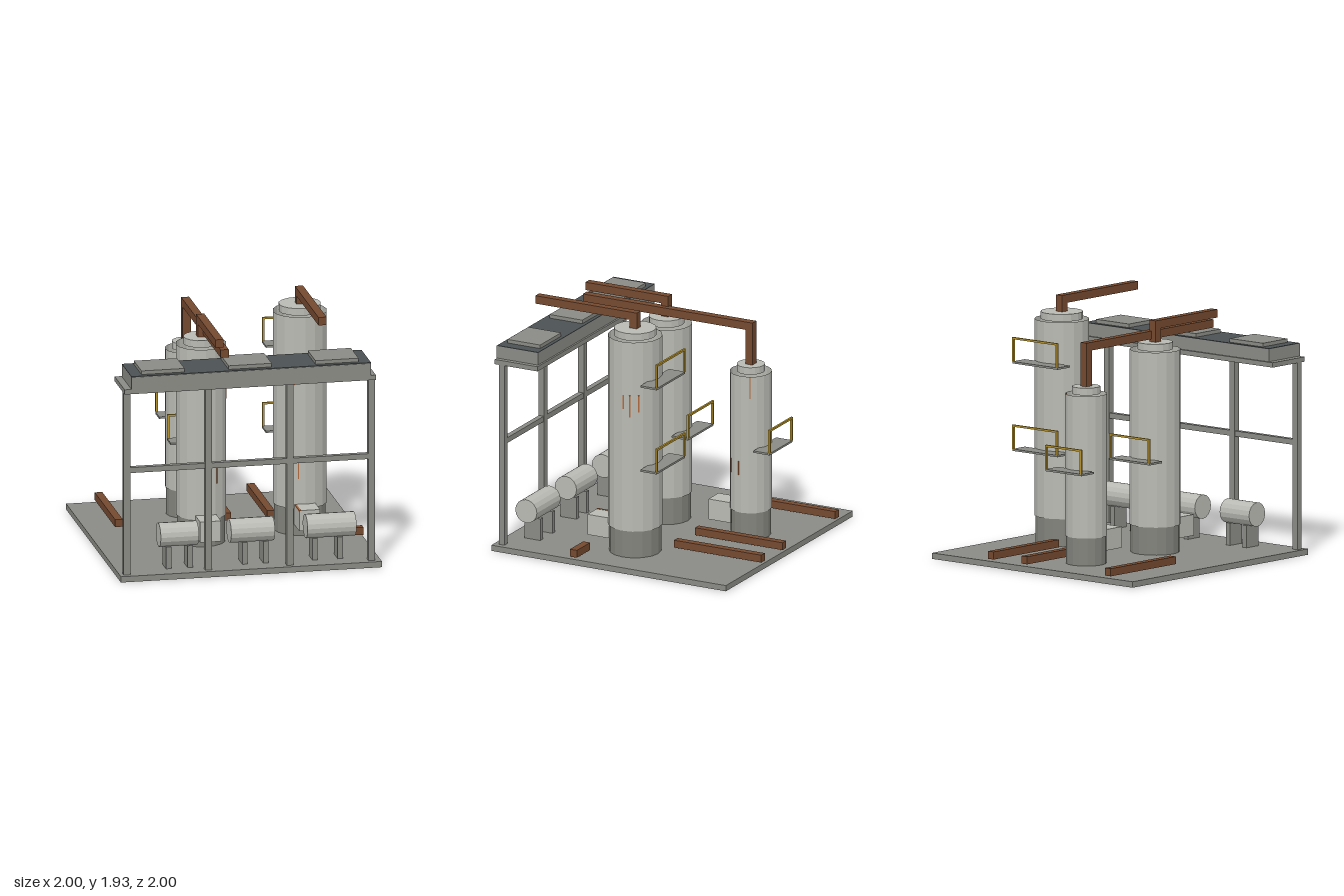
import * as THREE from 'three';

const mat = (name, color, side = THREE.FrontSide) => {
  const m = new THREE.MeshStandardMaterial({ color, side });
  m.name = name;
  return m;
};

export function createModel() {
  const model = new THREE.Group();
  model.name = 'processPlant';

  const steel = mat('steel grey', 0x8a8b85);
  const skirtGrey = mat('skirt grey', 0x82837c, THREE.DoubleSide);
  const shell = mat('pale vessel grey', 0xb9bab3);
  const shellOpen = mat('pale tower grey', 0xb9bab3, THREE.DoubleSide);
  const deck = mat('dark roof', 0x4c5253);
  const pipeBrown = mat('pipe brown', 0x74492f);
  const railYellow = mat('rail yellow', 0xb8942c);
  const rust = mat('rust orange', 0xb0673a);

  // Box given by its limits on each axis
  const box = (name, m, x0, x1, y0, y1, z0, z1, parent = model) => {
    const mesh = new THREE.Mesh(new THREE.BoxGeometry(x1 - x0, y1 - y0, z1 - z0), m);
    mesh.position.set((x0 + x1) / 2, (y0 + y1) / 2, (z0 + z1) / 2);
    mesh.name = name;
    parent.add(mesh);
    return mesh;
  };

  // Upright faceted cylinder
  const drum = (name, m, r, y0, y1, parent, open = false) => {
    const g = new THREE.CylinderGeometry(r, r, y1 - y0, 16, 1, open).toNonIndexed();
    g.computeVertexNormals();
    const mesh = new THREE.Mesh(g, m);
    mesh.position.y = (y0 + y1) / 2;
    mesh.name = name;
    parent.add(mesh);
    return mesh;
  };

  // Base slab with a rim and ribs beneath
  box('baseSlab', steel, -1, 1, 0.03, 0.045, -1, 1);
  for (const c of [-0.99, -0.333, 0.333, 0.99]) {
    box('baseRib', steel, c - 0.01, c + 0.01, 0, 0.03, -1, 1);
    box('baseCrossRib', steel, -1, 1, 0, 0.03, c - 0.01, c + 0.01);
  }

  // Pipe rack with cooler deck on top
  const rack = new THREE.Group();
  rack.name = 'rack';
  model.add(rack);
  for (const x of [-0.945, -0.32, 0.305, 0.93]) {
    box('rackColumn', steel, x - 0.025, x + 0.025, 0.045, 1.465, 0.912, 0.96, rack);
  }
  box('rackRail', steel, -0.945, 0.93, 0.838, 0.88, 0.915, 0.957, rack);
  box('rackFlange', steel, -0.97, 0.955, 1.465, 1.502, 0.63, 0.995, rack);
  box('coolerBox', steel, -0.918, 0.918, 1.502, 1.597, 0.645, 1.0, rack);
  box('coolerDeck', deck, -0.918, 0.918, 1.597, 1.602, 0.645, 0.995, rack);
  for (const x of [-0.668, 0, 0.665]) {
    box('coolerPanel', steel, x - 0.165, x + 0.165, 1.602, 1.63, 0.675, 0.955, rack);
  }

  // Work platform with a yellow handrail at its back edge
  const platform = (x0, x1, y, zFront, zBack) => {
    const g = new THREE.Group();
    g.name = 'platform';
    model.add(g);
    box('platformFloor', steel, x0, x1, y - 0.015, y, zBack, zFront, g);
    for (const x of [x0, x1 - 0.016]) {
      box('railPost', railYellow, x, x + 0.016, y, y + 0.17, zBack - 0.004, zBack + 0.012, g);
    }
    box('railTop', railYellow, x0, x1, y + 0.17, y + 0.185, zBack - 0.004, zBack + 0.012, g);
  };

  // Towers: streaks are [angle from the front, bottom, top]
  const towers = [
    { x: 0.58, z: 0, r: 0.205, cap: 0.16, top: 1.75, pipeTop: 1.93, levels: [0.77, 1.435], half: 0.225,
      streaks: [[-0.4, 1.22, 1.33], [-0.25, 0.49, 0.66], [1.62, 1.22, 1.33], [1.87, 1.16, 1.33], [2.2, 1.2, 1.33]] },
    { x: -0.21, z: 0.16, r: 0.192, cap: 0.134, top: 1.585, pipeTop: 1.803, levels: [0.77], half: 0.2,
      streaks: [[-0.05, 1.22, 1.33], [0.16, 0.49, 0.66], [0.49, 0.53, 0.66], [1.2, 1.16, 1.33]] },
    { x: -0.17, z: -0.58, r: 0.158, cap: 0.106, top: 1.335, pipeTop: 1.722, levels: [0.77], half: 0.18,
      streaks: [[2.03, 1.16, 1.33], [0.85, 0.55, 0.66], [1.42, 0.55, 0.66]] },
  ];
  for (const t of towers) {
    const g = new THREE.Group();
    g.name = 'tower';
    g.position.set(t.x, 0, t.z);
    model.add(g);
    drum('towerSkirt', skirtGrey, t.r * 0.96, 0.045, 0.255, g, true);
    drum('towerBody', shellOpen, t.r, 0.255, t.top, g, true);
    drum('towerCap', shell, t.cap, t.top, t.top + 0.055, g);
    box('serviceBox', shell, -0.08, 0.08, 0.13, 0.29, t.r - 0.03, t.r + 0.16, g);
    for (const [a, y0, y1] of t.streaks) {
      const s = box('rustStreak', rust, -0.005, 0.005, y0, y1, -0.004, 0.004, g);
      s.position.x = Math.sin(a) * t.r * 0.987;
      s.position.z = Math.cos(a) * t.r * 0.987;
      s.rotation.y = a;
    }
    // Overhead line running forward to the rack
    box('risePipe', pipeBrown, -0.031, 0.031, t.top + 0.055, t.pipeTop - 0.062, -0.03, 0.03, g);
    box('overheadPipe', pipeBrown, -0.031, 0.031, t.pipeTop - 0.062, t.pipeTop, -0.03, 0.835 - t.z, g);
    for (const y of t.levels) {
      platform(t.x - t.half, t.x + t.half, y, t.z - t.r + 0.04, t.z - t.r - 0.1);
    }
  }
  box('boxStreak', rust, 0.498, 0.514, 0.285, 0.293, 0.21, 0.365);

  // Low pipes crossing the slab
  for (const x of [-0.752, 0.08, 0.413]) {
    box('groundPipe', pipeBrown, x - 0.029, x + 0.029, 0.062, 0.12, -1, -0.255);
  }
  box('sidePipe', pipeBrown, 0.79, 1, 0.062, 0.12, 0.27, 0.33);

  // Horizontal drums, each on two legs
  for (const [x0, x1, legA, legB] of [
    [-0.67, -0.378, -0.605, -0.44],
    [-0.13, 0.205, -0.02, 0.14],
    [0.455, 0.83, 0.517, 0.71],
  ]) {
    const g = new THREE.Group();
    g.name = 'horizontalDrum';
    model.add(g);
    const v = drum('drumShell', shell, 0.092, 0, x1 - x0, g);
    v.rotation.z = Math.PI / 2;
    v.position.set((x0 + x1) / 2, 0.295, 0.795);
    for (const x of [legA, legB]) {
      box('drumLeg', steel, x - 0.02, x + 0.02, 0.045, 0.215, 0.728, 0.862, g);
    }
  }

  return model;
}
